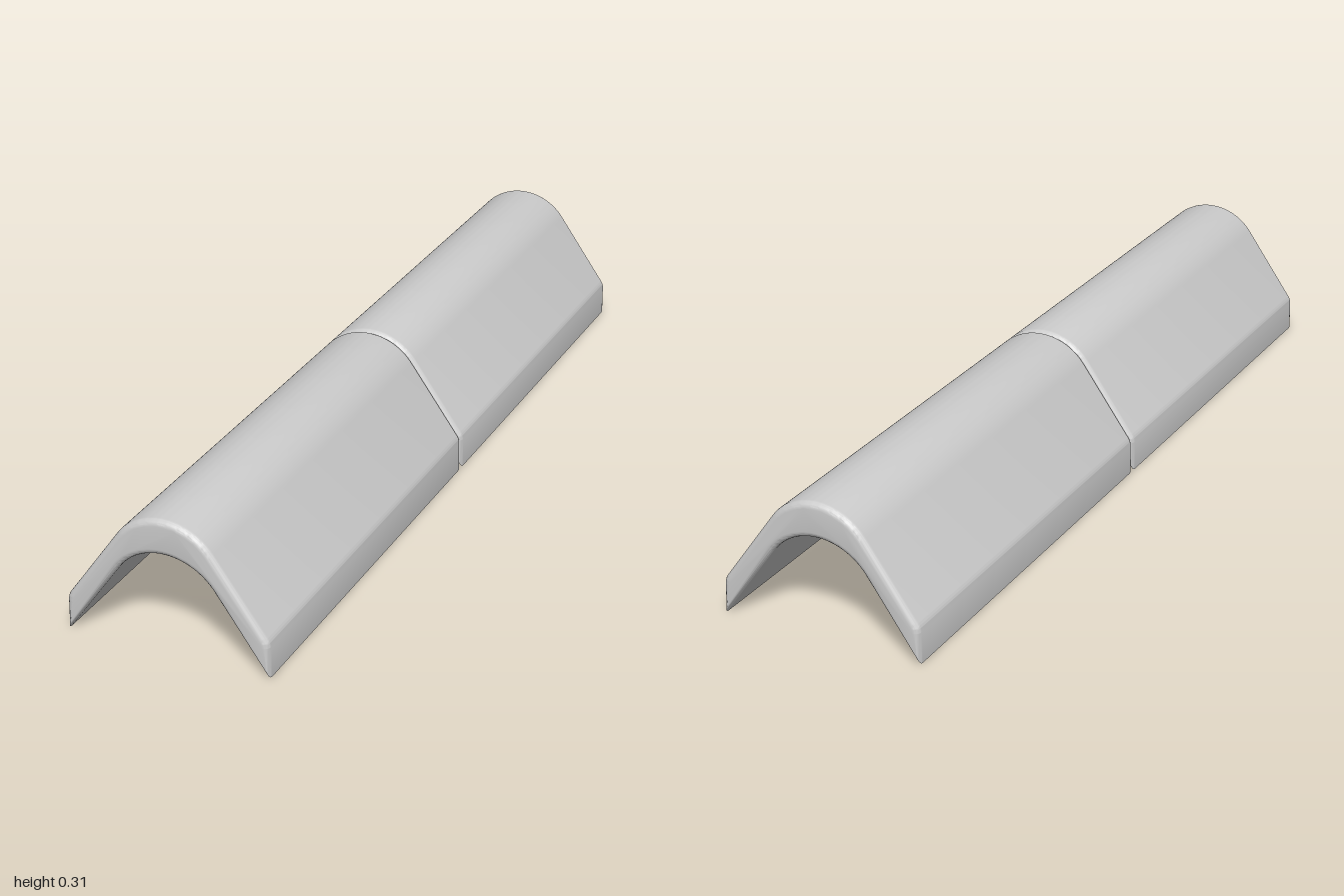
import * as THREE from 'three';
import { toCreasedNormals } from 'three/addons/utils/BufferGeometryUtils.js';

const HALF = 0.234;      // half width
const RADIUS = 0.135;    // crown radius, outside and inside
const START = 0.614;     // angle where the crown meets the sloping leg
const LENGTH = 1;        // one tile
const BEVEL = 0.014;     // rounding of the end edges

// Cross-section: rounded crown, sloping legs, upright outer lips
function tileProfile() {
  const s = new THREE.Shape();
  s.moveTo(HALF, 0);
  s.lineTo(HALF, 0.07);
  s.quadraticCurveTo(HALF, 0.082, 0.224, 0.094);
  s.absarc(0, 0.31 - RADIUS, RADIUS, START, Math.PI - START, false);
  s.lineTo(-0.224, 0.094);
  s.quadraticCurveTo(-HALF, 0.082, -HALF, 0.07);
  s.lineTo(-HALF, 0);
  s.absarc(0, 0.229 - RADIUS, RADIUS, Math.PI - START, START, true);
  return s;
}

export function createModel() {
  const group = new THREE.Group();
  group.name = 'ridgeTiles';
  const material = new THREE.MeshStandardMaterial({ color: 0xcccccc });

  const extruded = new THREE.ExtrudeGeometry(tileProfile(), {
    depth: LENGTH - 2 * BEVEL,
    curveSegments: 20,
    bevelEnabled: true,
    bevelThickness: BEVEL,
    bevelSize: BEVEL,
    bevelOffset: -BEVEL,
    bevelSegments: 5,
  });
  extruded.translate(0, 0, -LENGTH / 2 + BEVEL);
  const geometry = toCreasedNormals(extruded, 0.6);

  // Two tiles laid end to end
  for (const [name, side] of [['frontTile', 1], ['backTile', -1]]) {
    const tile = new THREE.Mesh(geometry, material);
    tile.name = name;
    tile.position.z = side * LENGTH / 2;
    group.add(tile);
  }
  return group;
}
